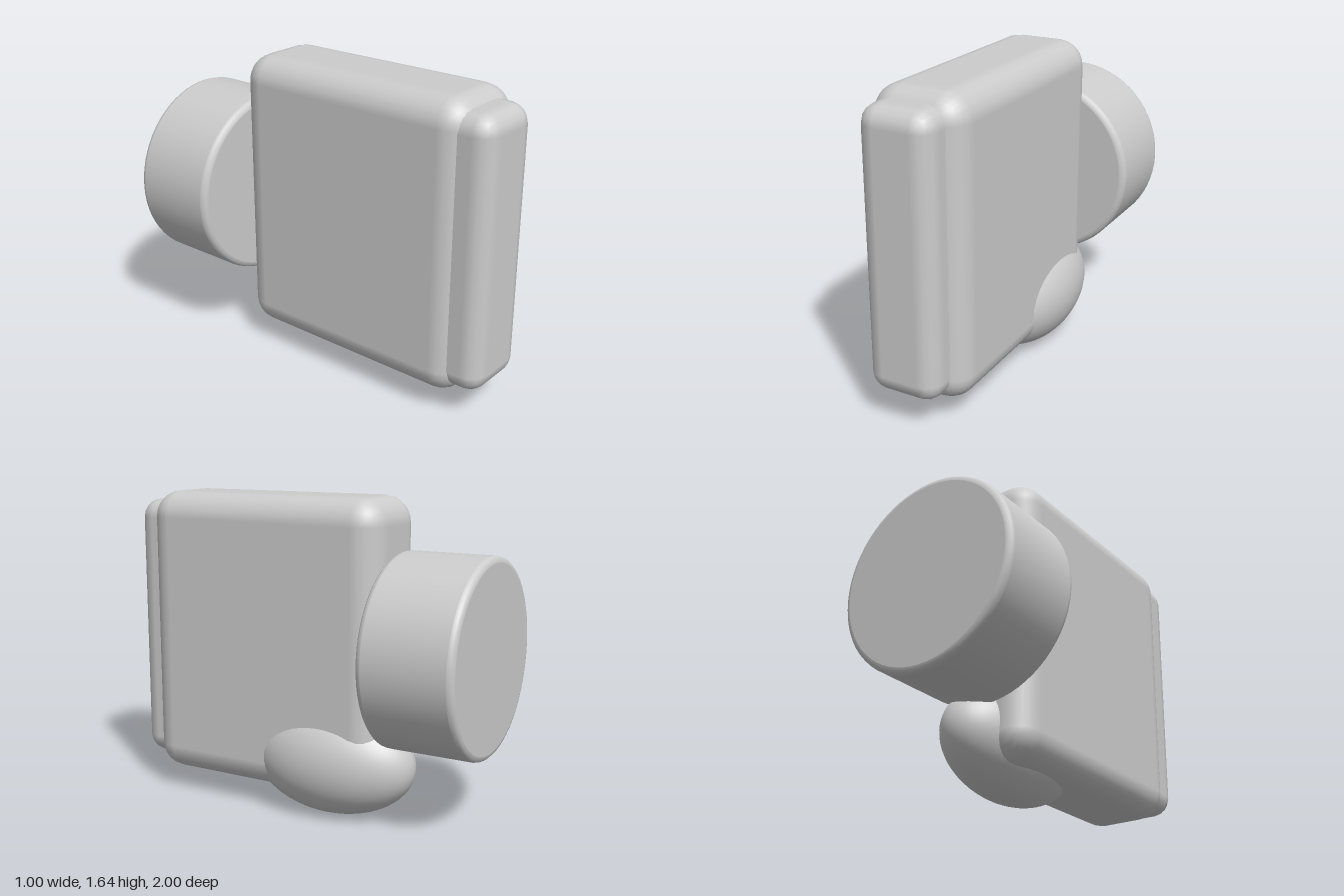
import * as THREE from 'three';
import { RoundedBoxGeometry } from 'three/addons/geometries/RoundedBoxGeometry.js';

export function createModel() {
  const model = new THREE.Group();
  const grey = new THREE.MeshStandardMaterial({ color: 0xcccccc });
  grey.name = 'plain grey';

  const add = (name, geometry, x, y, z) => {
    const mesh = new THREE.Mesh(geometry, grey);
    mesh.name = name;
    mesh.position.set(x, y, z);
    model.add(mesh);
    return mesh;
  };

  // Tall slab with soft edges
  add('body', new RoundedBoxGeometry(0.5, 1.534, 1.375, 3, 0.14), 0.035, 0.878, 0.1875);

  // Narrower slab showing at the front
  add('frontPlate', new RoundedBoxGeometry(0.39, 1.43, 0.4, 2, 0.1), 0.015, 0.88, 0.8);

  // Round drum at the back, turned from a profile with rounded rims
  const radius = 0.5, half = 0.2475, bevel = 0.03;
  const profile = [new THREE.Vector2(0, -half), new THREE.Vector2(radius - bevel - 0.002, -half)];
  for (const side of [-1, 1]) {
    for (let i = 0; i <= 3; i++) {
      const a = (side < 0 ? i - 3 : i) * Math.PI / 6;
      profile.push(new THREE.Vector2(
        radius - bevel + bevel * Math.cos(a),
        side * (half - bevel) + bevel * Math.sin(a)));
    }
    // Thin band next to the rim keeps the wall straight in shading
    if (side < 0) {
      profile.push(new THREE.Vector2(radius, -half + bevel + 0.002));
      profile.push(new THREE.Vector2(radius, half - bevel - 0.002));
    }
  }
  profile.push(new THREE.Vector2(radius - bevel - 0.002, half), new THREE.Vector2(0, half));
  const drum = add('backDrum', new THREE.LatheGeometry(profile, 64), 0, 0.88, -0.7525);
  drum.rotation.x = Math.PI / 2;

  // Long egg-shaped foot under one side
  const foot = add('foot', new THREE.SphereGeometry(1, 48, 32), 0.105, 0.288, -0.18);
  foot.scale.set(0.25, 0.288, 0.46);

  return model;
}
